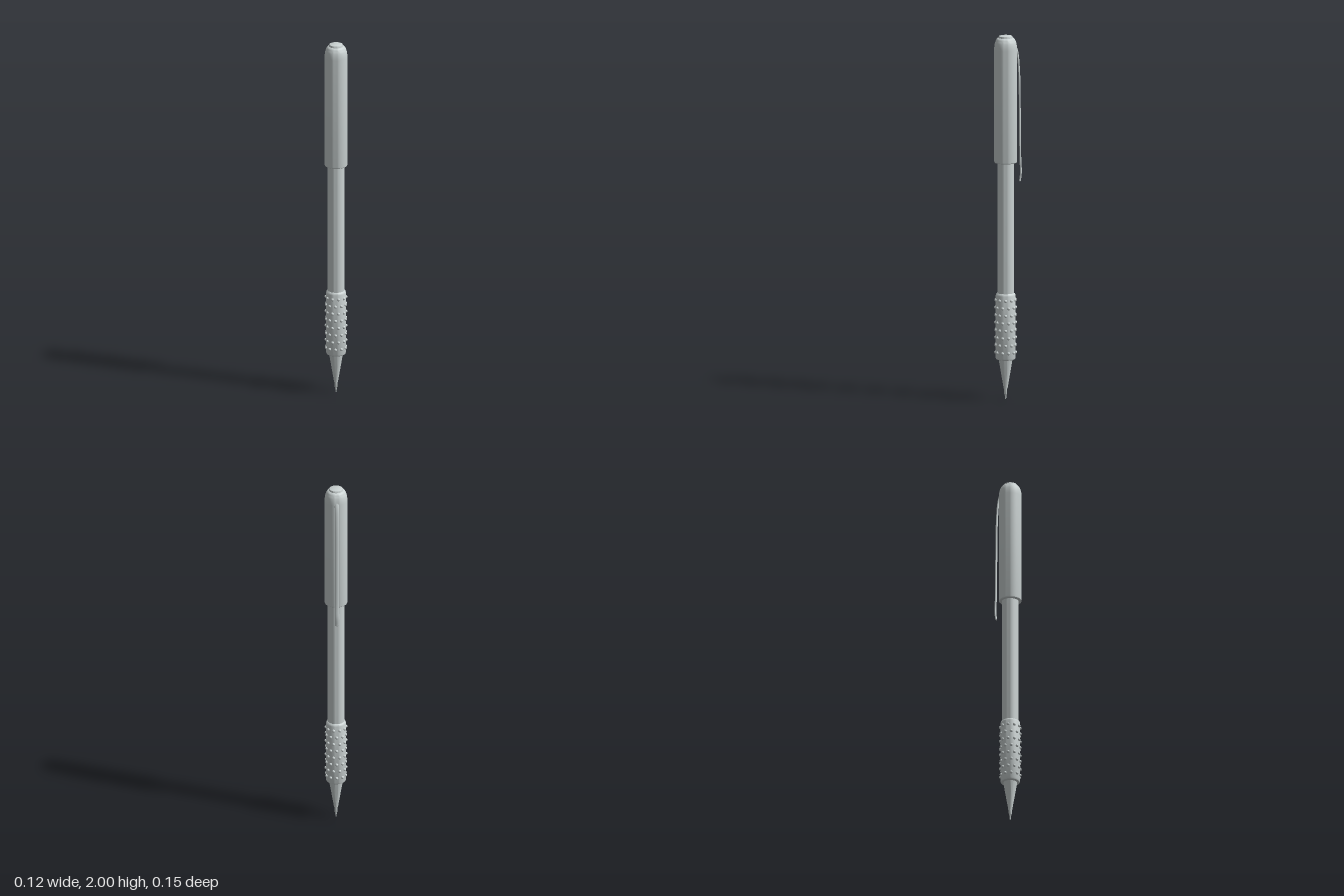
import * as THREE from 'three';
import { toCreasedNormals } from 'three/addons/utils/BufferGeometryUtils.js';

const AXIS_Z = 0.012; // barrel axis, offset so that barrel plus clip is centred

export function createModel() {
  const model = new THREE.Group();
  model.name = 'pen';
  const grey = new THREE.MeshStandardMaterial({ color: 0xcbd3d3 });
  grey.name = 'light grey';

  const add = (name, geometry, parent = model) => {
    const mesh = new THREE.Mesh(geometry, grey);
    mesh.name = name;
    parent.add(mesh);
    return mesh;
  };
  // Turned part from [radius, y] pairs, listed bottom to top
  const turned = (name, profile) => {
    const points = profile.map(([r, y]) => new THREE.Vector2(r, y));
    const mesh = add(name, toCreasedNormals(new THREE.LatheGeometry(points, 40), 0.6));
    mesh.position.z = AXIS_Z;
    return mesh;
  };

  // Writing end
  turned('point', [[0, 0], [0.003, 0.002], [0.005, 0.025], [0.008, 0.03], [0.009, 0.068], [0, 0.068]]);
  turned('cone', [[0, 0.06], [0.011, 0.06], [0.013, 0.075], [0.025, 0.145], [0.038, 0.222], [0, 0.222]]);

  // Grip sleeve and barrel
  turned('grip', [[0, 0.22], [0.046, 0.22], [0.051, 0.223], [0.054, 0.23], [0.054, 0.573],
    [0.051, 0.582], [0.046, 0.586], [0, 0.586]]);
  turned('barrel', [[0.045, 0.57], [0.045, 1.32]]);

  // Staggered rows of round grip studs
  const studs = new THREE.Group();
  studs.name = 'gripStuds';
  studs.position.z = AXIS_Z;
  model.add(studs);
  const studGeometry = new THREE.SphereGeometry(0.0085, 10, 8);
  const rows = 8, perRow = 10;
  for (let row = 0; row < rows; row++) {
    for (let i = 0; i < perRow; i++) {
      const angle = ((i + (row % 2) / 2) / perRow) * Math.PI * 2;
      add('gripStud', studGeometry, studs)
        .position.set(Math.sin(angle) * 0.054, 0.26 + row * 0.0412, Math.cos(angle) * 0.054);
    }
  }

  // Cap with rounded shoulder, and the flat button on top
  const cap = [[0.044, 1.303], [0.058, 1.303], [0.061, 1.306], [0.062, 1.312], [0.062, 1.925]];
  for (let i = 1; i <= 8; i++) {
    const a = (i / 8) * Math.PI / 2;
    cap.push([0.038 + 0.024 * Math.cos(a), 1.925 + 0.065 * Math.sin(a)]);
  }
  cap.push([0.034, 1.986], [0, 1.986]);
  turned('cap', cap);
  turned('button', [[0.038, 1.98], [0.039, 1.992], [0.036, 1.999], [0.034, 2], [0, 2]]);

  // Springy pocket clip on the back: a flattened tube with rounded ends
  const path = new THREE.CatmullRomCurve3(
    [[1.945, -0.042], [1.91, -0.052], [1.81, -0.061], [1.6, -0.065], [1.32, -0.068],
      [1.25, -0.071], [1.205, -0.066]].map(([y, z]) => new THREE.Vector3(0, y, z)));
  const clip = new THREE.Group();
  clip.name = 'clip';
  clip.scale.x = 2.3;
  model.add(clip);
  add('clipArm', new THREE.TubeGeometry(path, 48, 0.005, 12), clip);
  for (const t of [0, 1]) {
    add('clipEnd', new THREE.SphereGeometry(0.005, 12, 8), clip).position.copy(path.getPoint(t));
  }
  return model;
}
